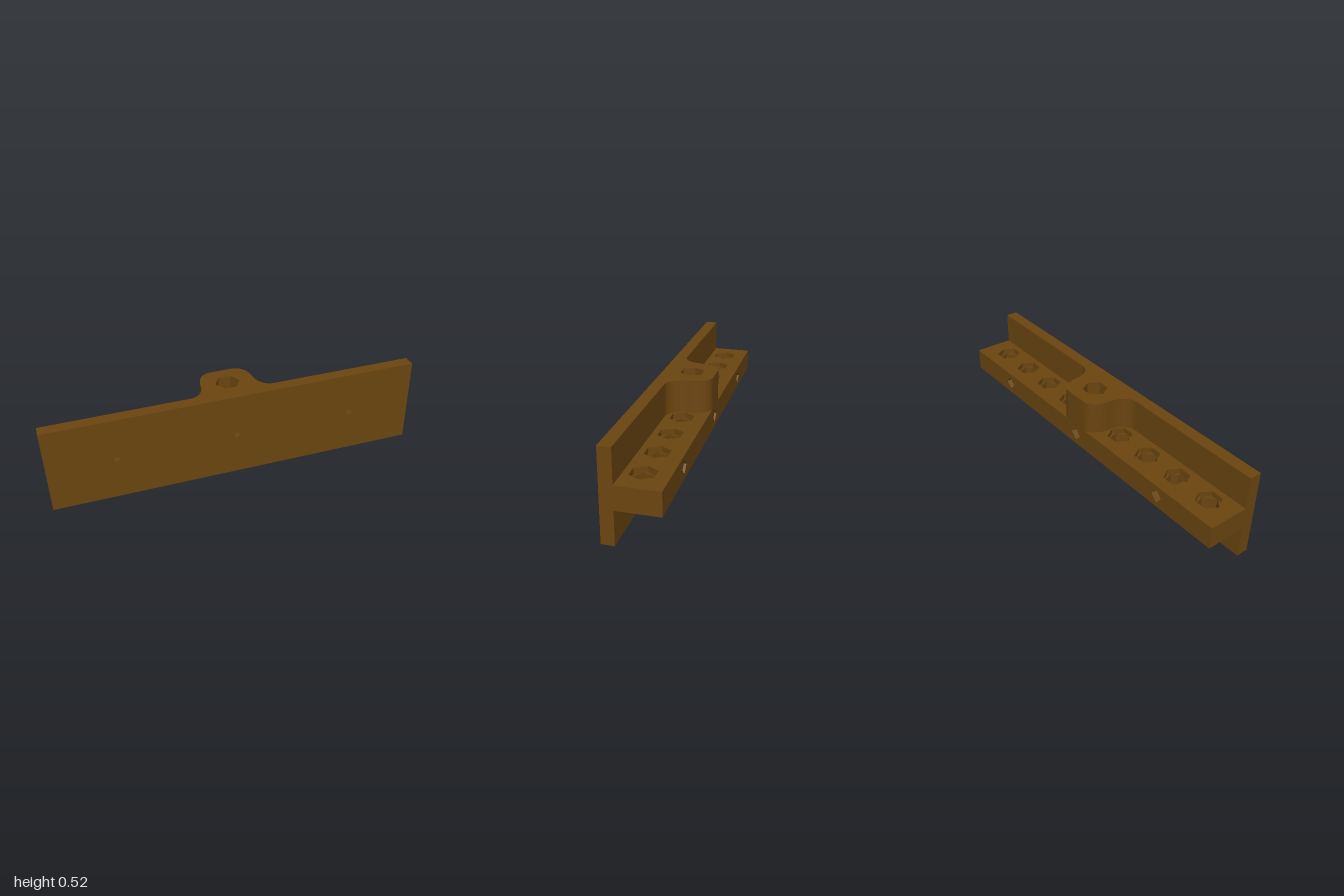
import * as THREE from 'three';

const L = 1.988, H = 0.471, TILT = 0.0262;   // rail length, height and lean
const FRONT = 0.14, SEAM = 0.075, BACK = -0.14, WEB = -0.085; // z stations
const T = 0.0605, SLOT = 0.03;               // half shelf thickness, half slot
const HOLE_Z = -0.014;
const boltX = [-0.637, 0, 0.637];
const holeX = Array.from({ length: 9 }, (_, i) => (i - 4) * 0.2125);

const material = new THREE.MeshStandardMaterial({ color: 0x6b4510, flatShading: true });
const smooth = new THREE.MeshStandardMaterial({ color: 0x6b4510 });

const polygon = (cx, cy, r, sides, start) => Array.from({ length: sides }, (_, i) => {
  const a = start + i * 2 * Math.PI / sides;
  return new THREE.Vector2(cx + r * Math.cos(a), cy + r * Math.sin(a));
});
const rect = (x0, x1, y0, y1) => new THREE.Shape([[x0, y0], [x1, y0], [x1, y1], [x0, y1]]
  .map(p => new THREE.Vector2(...p)));
const punch = (shape, outlines) => {
  for (const o of outlines) shape.holes.push(new THREE.Path(o));
  return shape;
};
const hexHole = x => polygon(x, -HOLE_Z, 0.066, 6, 0);
const pentHole = x => polygon(x, -HOLE_Z, 0.061, 5, -Math.PI / 2);

export function createModel() {
  const group = new THREE.Group();
  const rail = new THREE.Group();
  rail.name = 'rail';
  rail.position.y = 0.2615;
  rail.rotation.z = TILT;
  group.add(rail);

  const add = (name, geometry, mat = material) => {
    const mesh = new THREE.Mesh(geometry, mat);
    mesh.name = name;
    rail.add(mesh);
  };
  // Extrusion towards +z, from z0 to z1
  const alongZ = (name, shape, z0, z1) => add(name,
    new THREE.ExtrudeGeometry(shape, { depth: z1 - z0, bevelEnabled: false }).translate(0, 0, z0));
  // Extrusion upwards, from y0 to y1; the shape's y is -z
  const alongY = (name, shape, y0, y1, mat) => add(name,
    new THREE.ExtrudeGeometry(shape, { depth: y1 - y0, bevelEnabled: false, curveSegments: 16 })
      .rotateX(-Math.PI / 2).translate(0, y0, 0), mat);

  // Upright plate with three small triangular bolt holes
  alongZ('plate', punch(rect(-L / 2, L / 2, -H / 2, H / 2),
    boltX.map(x => polygon(x, 0, 0.023, 3, 0))), SEAM, FRONT);

  // Rear strip of the shelf with wider bolt openings
  alongZ('shelfRear', punch(rect(-L / 2, L / 2, -T, T),
    boltX.map(x => polygon(x, 0, 0.036, 4, 0))), BACK, WEB);

  // Shelf layers above and below the bolt tunnels
  const strip = () => rect(-L / 2, L / 2, -SEAM, -WEB);
  alongY('shelfTop', punch(strip(), holeX.map(hexHole)), SLOT, T);
  alongY('shelfBottom', punch(strip(), holeX.map(pentHole)), -T, -SLOT);

  // Middle layer, divided where the bolts cross the vertical holes
  const halfHole = [[SLOT, -SEAM], [SLOT, -0.025], [0.058, -0.005], [0.036, 0.064], [SLOT, 0.064], [SLOT, -WEB]];
  const end = (x, side) => (Math.abs(x) > 0.9 ? [[0, -SEAM], [0, -WEB]] : halfHole)
    .map(([dx, y]) => new THREE.Vector2(x + side * dx, y));
  const stops = [-L / 2, ...boltX, L / 2];
  for (let i = 0; i < 4; i++) {
    const [a, b] = [stops[i], stops[i + 1]];
    const outline = new THREE.Shape([...end(b, -1), ...end(a, 1).reverse()]);
    const inner = holeX.filter(x => x > a + 0.1 && x < b - 0.1);
    alongY('shelfMiddle', punch(outline, inner.map(pentHole)), -SLOT, SLOT);
  }

  // Bell-shaped boss with flared sides, rising to the plate's top edge
  const bell = new THREE.Shape();
  bell.moveTo(-0.225, -SEAM);
  bell.lineTo(0.225, -SEAM);
  bell.bezierCurveTo(0.18, -SEAM, 0.145, -0.03, 0.142, 0.025);
  bell.bezierCurveTo(0.14, 0.09, 0.11, -BACK, 0.06, -BACK);
  bell.lineTo(-0.06, -BACK);
  bell.bezierCurveTo(-0.11, -BACK, -0.14, 0.09, -0.142, 0.025);
  bell.bezierCurveTo(-0.145, -0.03, -0.18, -SEAM, -0.225, -SEAM);
  alongY('boss', punch(bell, [hexHole(0)]), T, H / 2, smooth);

  return group;
}
